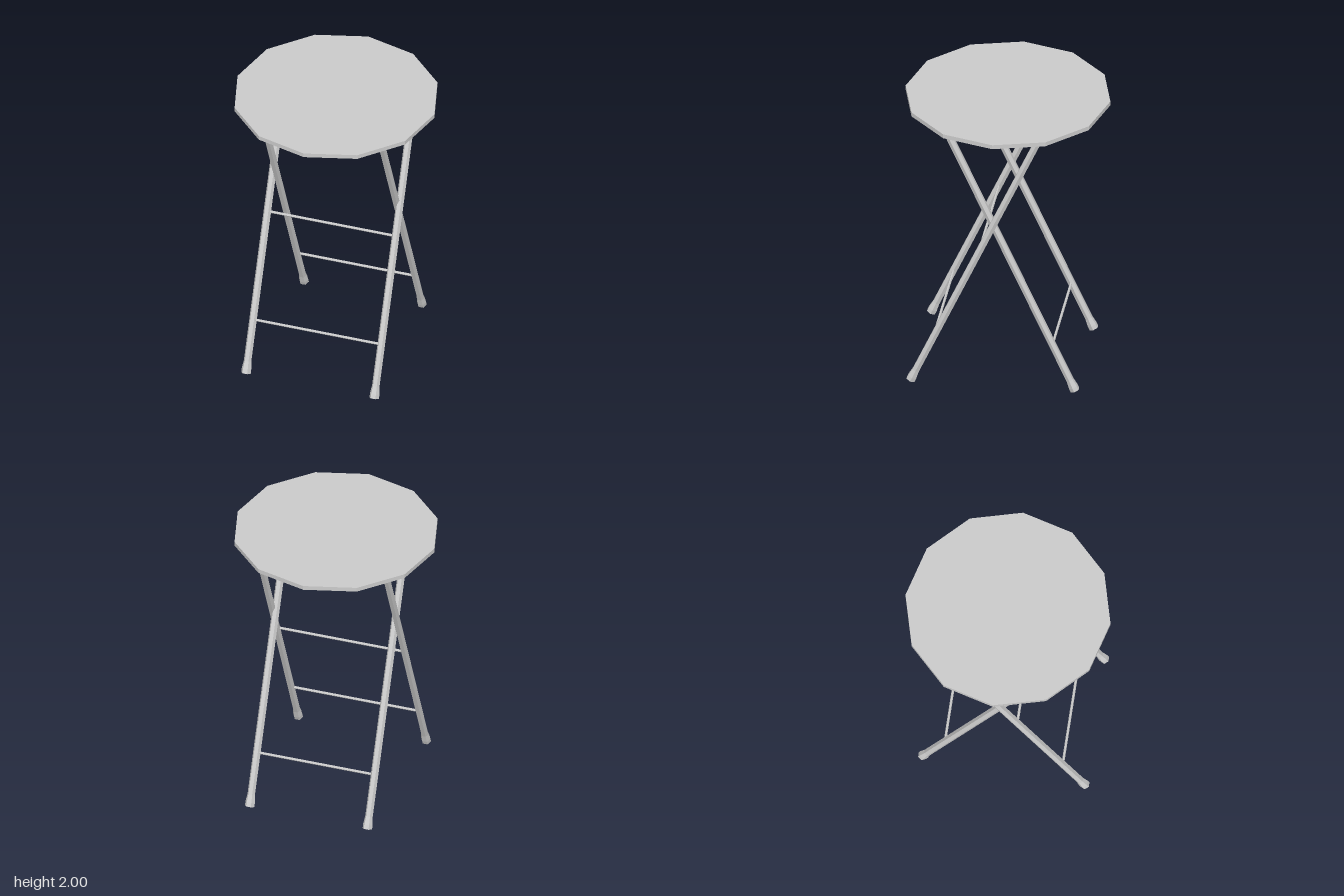
import * as THREE from 'three';

const material = new THREE.MeshStandardMaterial({ color: 0xcccccc, flatShading: true });
const Y_BOTTOM = 0.013, Y_TOP = 1.975;

function addMesh(parent, name, geometry) {
  const mesh = new THREE.Mesh(geometry, material);
  mesh.name = name;
  parent.add(mesh);
  return mesh;
}

// Hexagonal tube leaning along z, with a flared foot at its lower end
function addLeg(parent, name, x, zBottom, zTop) {
  const dy = Y_TOP - Y_BOTTOM, dz = zTop - zBottom;
  const length = Math.hypot(dy, dz);
  const profile = [[0, 0], [0.033, 0], [0.033, 0.03], [0.026, 0.085], [0.026, length], [0, length]]
    .map(([r, y]) => new THREE.Vector2(r, y));
  const leg = addMesh(parent, name, new THREE.LatheGeometry(profile, 6, Math.PI / 2));
  leg.position.set(x, Y_BOTTOM, zBottom);
  leg.rotation.x = Math.atan2(dz, dy);
}

// Two parallel legs joined by thin rungs at the given heights
function addFrame(parent, name, xRight, xLeft, zBottom, zTop, rungHeights) {
  const frame = new THREE.Group();
  frame.name = name;
  addLeg(frame, 'rightLeg', xRight, zBottom, zTop);
  addLeg(frame, 'leftLeg', xLeft, zBottom, zTop);
  for (const y of rungHeights) {
    const t = (y - Y_BOTTOM) / (Y_TOP - Y_BOTTOM);
    const rung = addMesh(frame, 'rung', new THREE.CylinderGeometry(0.009, 0.009, xLeft - xRight, 6));
    rung.rotation.z = Math.PI / 2;
    rung.position.set((xLeft + xRight) / 2, y, THREE.MathUtils.lerp(zBottom, zTop, t));
  }
  parent.add(frame);
}

export function createModel() {
  const stool = new THREE.Group();
  stool.name = 'foldingStool';

  // Twelve-sided seat
  const seat = addMesh(stool, 'seat', new THREE.CylinderGeometry(0.688, 0.688, 0.03, 12));
  seat.position.y = 1.985;

  // Crossing frames, one nested slightly to the side of the other
  addFrame(stool, 'frontFrame', -0.438, 0.458, 0.583, -0.297, [0.35, 1.03]);
  addFrame(stool, 'backFrame', -0.392, 0.432, -0.517, 0.365, [0.35]);

  return stool;
}
